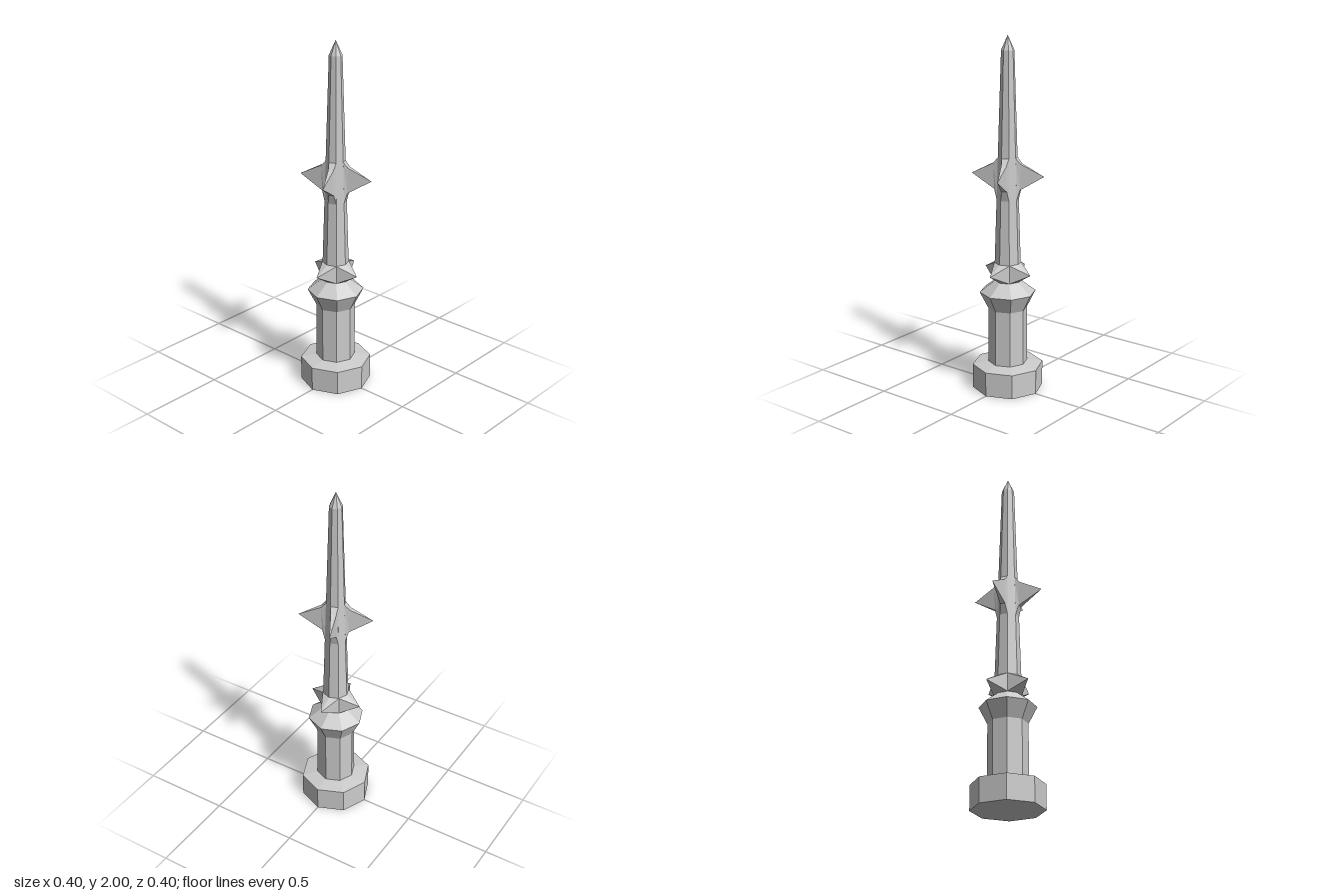
import * as THREE from 'three';

const material = new THREE.MeshStandardMaterial({ color: 0xcccccc, flatShading: true });

// Eight-sided turned part from [radius, height] pairs, bottom to top
function turned(name, profile) {
  const points = profile.map(([r, y]) => new THREE.Vector2(r, y));
  const mesh = new THREE.Mesh(new THREE.LatheGeometry(points, 8), material);
  mesh.name = name;
  return mesh;
}

// Skin rings (counter-clockwise seen from +z) and close them to a tip
function spikeGeometry(rings, tip) {
  const out = [];
  const n = rings[0].length;
  rings.forEach((ring, k) => {
    const next = rings[k + 1];
    for (let i = 0; i < n; i++) {
      const j = (i + 1) % n;
      if (next) out.push(...ring[i], ...ring[j], ...next[j], ...ring[i], ...next[j], ...next[i]);
      else out.push(...ring[i], ...ring[j], ...tip);
    }
  });
  const geometry = new THREE.BufferGeometry();
  geometry.setAttribute('position', new THREE.Float32BufferAttribute(out, 3));
  geometry.computeVertexNormals();
  return geometry;
}

// Four copies around the vertical axis
function crown(name, geometry, startAngle) {
  const group = new THREE.Group();
  group.name = name;
  for (let i = 0; i < 4; i++) {
    const mesh = new THREE.Mesh(geometry, material);
    mesh.name = name + 'Spike';
    mesh.rotation.y = startAngle + (i * Math.PI) / 2;
    group.add(mesh);
  }
  return group;
}

export function createModel() {
  const model = new THREE.Group();
  model.name = 'spikedSpire';

  // Plinth, column with flared capital, and tapering spire
  model.add(turned('base', [[0, 0], [0.2, 0], [0.2, 0.14], [0.11, 0.155]]));
  model.add(turned('column', [[0.11, 0.155], [0.11, 0.475], [0.158, 0.57], [0.072, 0.635]]));
  model.add(turned('spire', [[0.072, 0.635], [0.073, 0.74], [0.036, 1.92], [0, 2]]));

  // Lower crown: short pyramids, their bases wrapped round the spire
  const w = 0.053;
  const lowerRing = [
    [-w, 0.635, w], [0, 0.635, 0.073], [w, 0.635, w],
    [w, 0.74, w], [0, 0.74, 0.073], [-w, 0.74, w],
  ];
  model.add(crown('lowerCrown', spikeGeometry([lowerRing], [0, 0.69, 0.158]), 0));

  // Upper crown: thin thorns growing from every other face of the spire
  const quad = (h0, y0, z0, h1, y1, z1) => [[-h0, y0, z0], [h0, y0, z0], [h1, y1, z1], [-h1, y1, z1]];
  const thorn = spikeGeometry([
    quad(0.0235, 1.1, 0.056, 0.021, 1.34, 0.049),
    quad(0.015, 1.16, 0.073, 0.015, 1.305, 0.078),
  ], [0, 1.24, 0.205]);
  model.add(crown('upperCrown', thorn, Math.PI / 8));

  return model;
}
